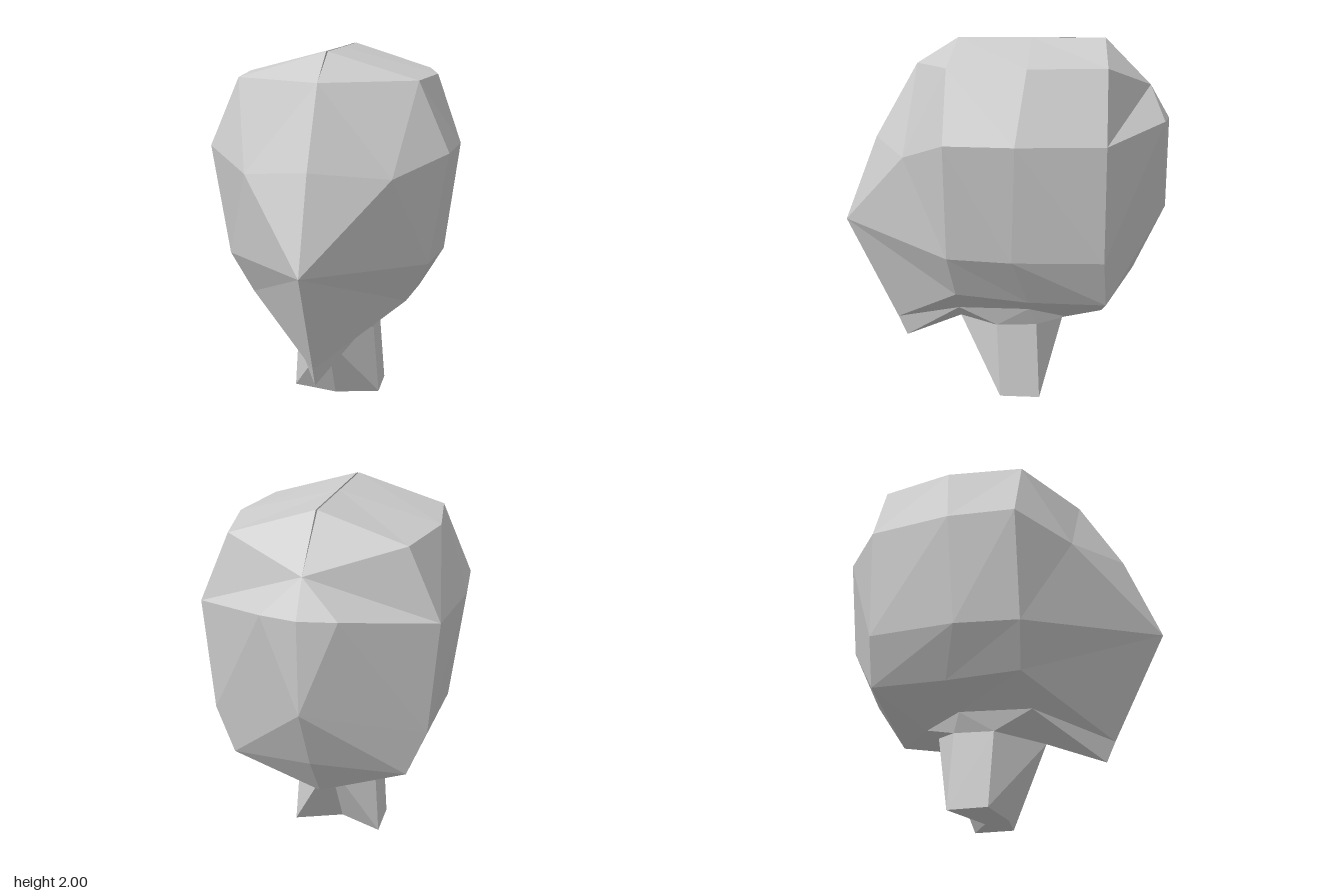
import * as THREE from 'three';

const S = 0.004; // half width of the slit along the crown

// Key points of the +x half
const P = {
  // centre line, from the crown forward and down to the chin
  topF: [S, 2, 0.25], brow: [0, 1.86, 0.48], fore: [0, 1.45, 0.72], nose: [0, 0.97, 0.91],
  chin: [0, 0.39, 0.62], chinIn: [0, 0.28, 0.57],
  // centre line, from the crown backward and down
  topB: [S, 2, -0.55], knobTop: [0, 1.75, -0.8], knob: [0, 1.57, -0.905], nape: [0, 1.08, -0.9],
  napeLow: [0, 0.72, -0.73], tail: [0, 0.46, -0.56],
  knobSide: [0.19, 1.57, -0.87], cheek: [0.385, 1.39, 0.5],
  // side columns: front (f), middle (m), back (b); rows 1 (high) to 4 (low)
  f1: [0.48, 1.86, 0.25], m1: [0.535, 1.86, -0.16], b1: [0.45, 1.86, -0.56],
  f2: [0.645, 1.49, 0.25], m2: [0.675, 1.49, -0.11], b2: [0.615, 1.49, -0.56],
  f3: [0.55, 0.89, 0.25], m3: [0.6, 0.89, -0.09], b3: [0.57, 0.89, -0.56],
  f4: [0.43, 0.665, 0.22], m4: [0.46, 0.64, -0.17], b4: [0.47, 0.64, -0.575],
  topM: [S, 2, -0.15],
  // inner edge of the lower rim
  i1: [0.23, 0.53, 0.23], i2: [0.26, 0.54, -0.16], i3: [0.19, 0.48, -0.36],
  // neck: upper and lower ring, notched at the back
  nf: [0, 0.41, 0.25], ns: [0.22, 0.43, 0.02], nb: [0.22, 0.44, -0.2], nk: [0, 0.5, -0.36],
  lf: [0, 0.01, 0.04], ls: [0.25, 0.02, 0], lb: [0.25, 0.02, -0.22], lk: [0, 0, -0.09],
};

// Polygons of each part, by point name
const PARTS = {
  crown: ['topF f1 m1 topM', 'topM m1 b1 topB'],
  forehead: ['topF brow f1', 'brow fore cheek f1', 'f1 cheek f2'],
  face: ['fore nose cheek', 'cheek nose f3 f2'],
  jaw: ['nose chin f4 f3'],
  sidePanel: ['f1 f2 m2 m1', 'm1 m2 b2 b1', 'f2 f3 m3 m2', 'm2 m3 b3 b2', 'f3 f4 m4 m3', 'm3 m4 b4 b3'],
  backPanel: ['topB b1 knobTop', 'knobTop b1 b2 knobSide', 'knobSide b2 b3 nape', 'nape b3 b4 napeLow', 'napeLow b4 tail'],
  backKnob: ['knobTop knobSide knob', 'knob knobSide nape'],
  lowerRim: ['chin chinIn i1 f4', 'f4 i1 i2 m4', 'm4 i2 i3 b4', 'b4 i3 tail', 'tail i3 nk'],
  collar: ['chinIn nf i1', 'i1 nf ns', 'i1 ns i2', 'i2 ns nb', 'i2 nb i3', 'i3 nb nk'],
  neck: ['nf lf ls', 'nf ls ns', 'ns ls lb nb', 'nb lb nk', 'nk lb lk', 'lf lk ls', 'ls lk lb'],
};

// Builds the polygons and their mirror images, turning each triangle outward
function mirroredPanels(polygons, centre) {
  const out = [];
  const n = new THREE.Vector3(), c = new THREE.Vector3();
  for (const side of [1, -1]) {
    for (const polygon of polygons) {
      const v = polygon.split(' ').map((k) => new THREE.Vector3(P[k][0] * side, P[k][1], P[k][2]));
      for (let i = 1; i < v.length - 1; i++) {
        const t = new THREE.Triangle(v[0], v[i], v[i + 1]);
        t.getNormal(n);
        t.getMidpoint(c).sub(centre);
        const corners = n.dot(c) < 0 ? [t.a, t.c, t.b] : [t.a, t.b, t.c];
        corners.forEach((p) => out.push(p.x, p.y, p.z));
      }
    }
  }
  const geometry = new THREE.BufferGeometry();
  geometry.setAttribute('position', new THREE.Float32BufferAttribute(out, 3));
  geometry.computeVertexNormals();
  return geometry;
}

export function createModel() {
  const model = new THREE.Group();
  model.name = 'lowPolyHead';
  const material = new THREE.MeshStandardMaterial({ color: 0xcccccc, flatShading: true, side: THREE.DoubleSide });
  const headCentre = new THREE.Vector3(0, 1.15, -0.05);
  const neckCentre = new THREE.Vector3(0, 0.25, -0.06);
  for (const [name, polygons] of Object.entries(PARTS)) {
    const mesh = new THREE.Mesh(mirroredPanels(polygons, name === 'neck' ? neckCentre : headCentre), material);
    mesh.name = name;
    model.add(mesh);
  }
  return model;
}
